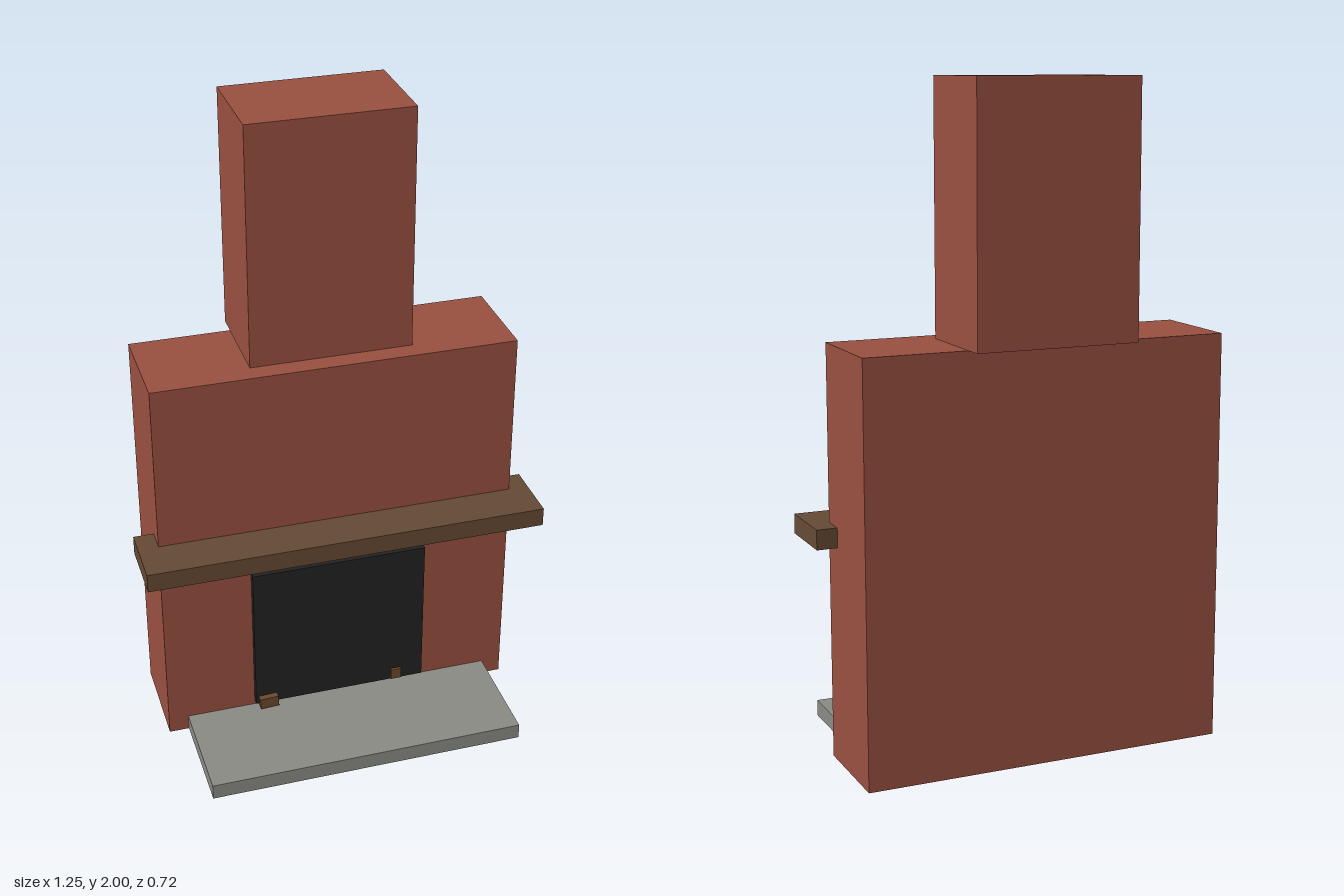
import * as THREE from 'three';

const mat = (name, color) => Object.assign(new THREE.MeshStandardMaterial({ color }), { name });

export function createModel() {
  const brick = mat('brick red', 0x985040);
  const wood = mat('dark wood', 0x654a34);
  const logWood = mat('log brown', 0x6b4a2f);
  const stone = mat('hearth grey', 0x8a8a85);
  const soot = mat('soot black', 0x222222);

  const model = new THREE.Group();
  model.name = 'fireplace';

  // Box given by its min and max extents on each axis
  function block(name, material, [x0, x1], [y0, y1], [z0, z1]) {
    const mesh = new THREE.Mesh(new THREE.BoxGeometry(x1 - x0, y1 - y0, z1 - z0), material);
    mesh.position.set((x0 + x1) / 2, (y0 + y1) / 2, (z0 + z1) / 2);
    mesh.name = name;
    model.add(mesh);
    return mesh;
  }

  // Masonry
  block('chimneyBreast', brick, [-0.5625, 0.5625], [0, 1.25], [-0.295, 0.0155]);
  block('chimneyStack', brick, [-0.25, 0.25], [1.25, 2], [-0.358, -0.048]);

  // Mantel shelf wraps slightly around the breast
  block('mantel', wood, [-0.625, 0.625], [0.66, 0.72], [-0.058, 0.152]);

  // Raised stone hearth and dark fire opening
  block('hearth', stone, [-0.5, 0.5], [0, 0.05], [0.0155, 0.358]);
  block('fireOpening', soot, [-0.28, 0.28], [0.065, 0.565], [0.0155, 0.036]);

  // Log ends poking out of the opening
  block('leftLog', logWood, [-0.27, -0.21], [0.058, 0.095], [0.0, 0.056]).rotation.z = 0.05;
  block('rightLog', logWood, [0.173, 0.207], [0.07, 0.106], [0.0, 0.045]);

  return model;
}
